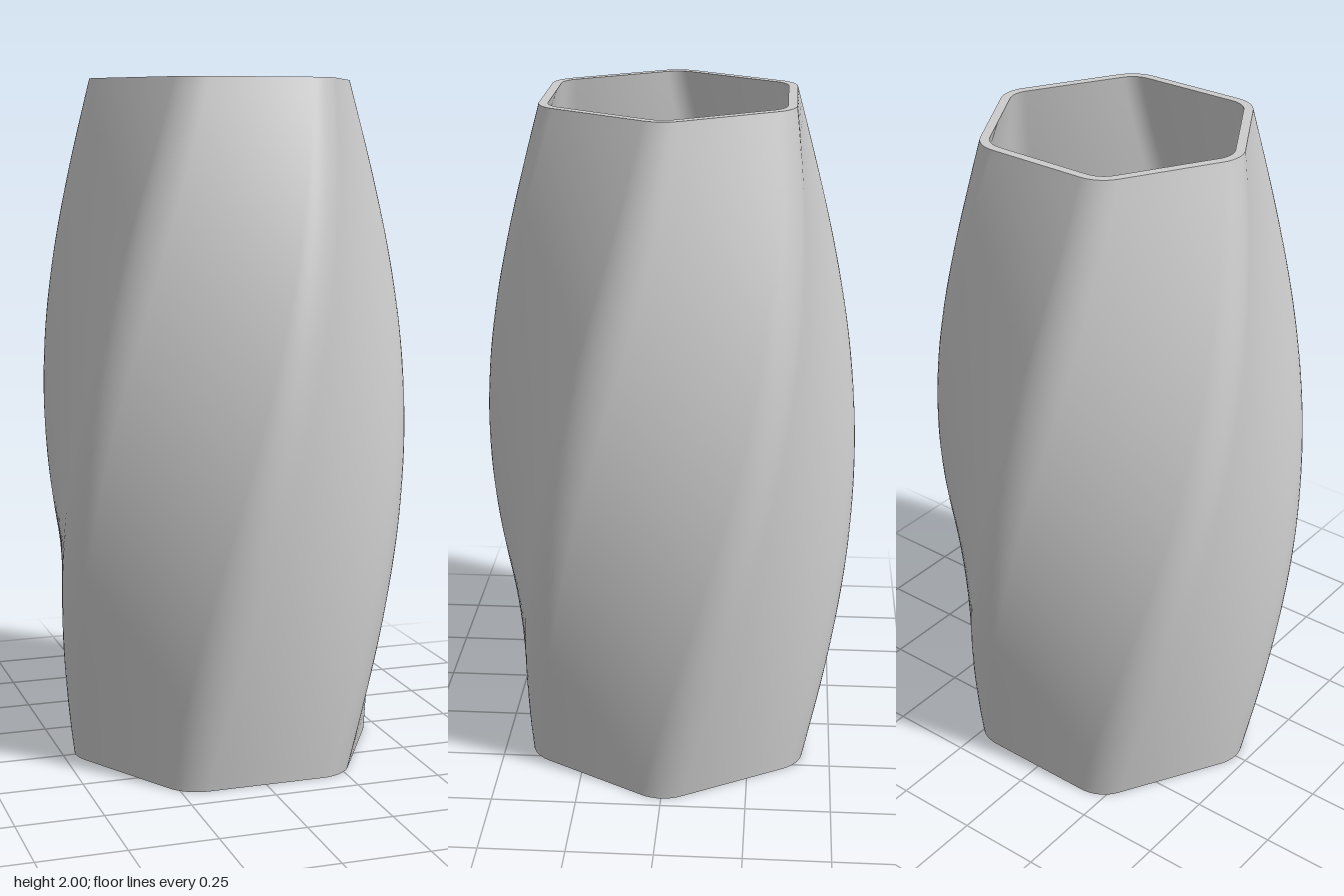
import * as THREE from 'three';

const HEIGHT = 2, TWIST = Math.PI / 3, WALL = 0.026, FLOOR = 0.05;
const RINGS = 64, ARC = 8, FLAT = 8;

// Apothem of the hexagon at height y: straight taper plus a sine bulge
const apothemAt = (y) => 0.4165 - 0.0315 * y + 0.108 * Math.sin((Math.PI * y) / HEIGHT);

// Rounded, twisted hexagon at height y, moved inwards by inset
function ring(y, inset = 0) {
  const full = apothemAt(y);
  const apothem = full - inset;
  const radius = full * 0.28 - inset;
  const centre = (apothem - radius) / Math.cos(Math.PI / 6);
  const turn = Math.PI / 6 + (y / HEIGHT) * TWIST - Math.PI / 3;
  const corners = [];
  for (let k = 0; k < 6; k++) {
    const a = turn + (k * Math.PI) / 3;
    const arc = [];
    for (let i = 0; i <= ARC; i++) {
      const b = a + (i / ARC - 0.5) * (Math.PI / 3);
      arc.push(new THREE.Vector3(
        centre * Math.sin(a) + radius * Math.sin(b), y,
        centre * Math.cos(a) + radius * Math.cos(b)));
    }
    corners.push(arc);
  }
  // Join each rounded corner to the next with a subdivided straight side
  return corners.flatMap((arc, k) => {
    const next = corners[(k + 1) % 6][0];
    const side = [];
    for (let i = 1; i < FLAT; i++) side.push(arc[ARC].clone().lerp(next, i / FLAT));
    return [...arc, ...side];
  });
}

// Skin a list of closed rings
function loft(rings) {
  const n = rings[0].length, index = [];
  for (let j = 0; j < rings.length - 1; j++) {
    for (let i = 0; i < n; i++) {
      const a = j * n + i, b = j * n + ((i + 1) % n);
      index.push(a, b, b + n, a, b + n, a + n);
    }
  }
  const geometry = new THREE.BufferGeometry().setFromPoints(rings.flat());
  geometry.setIndex(index);
  geometry.computeVertexNormals();
  return geometry;
}

// Flat cap fanned from the middle of a ring
function cap(points, up) {
  const middle = points.map((p) => new THREE.Vector3(0, p.y, 0));
  return loft(up ? [points, middle] : [middle, points]);
}

// Wall rings from one height to another
function wallRings(from, to, inset) {
  return Array.from({ length: RINGS + 1 }, (_, j) =>
    ring(from + ((to - from) * j) / RINGS, inset));
}

export function createModel() {
  const vase = new THREE.Group();
  vase.name = 'twistedVase';
  const material = new THREE.MeshStandardMaterial({ color: 0xcccccc });
  const add = (name, geometry) => {
    const mesh = new THREE.Mesh(geometry, material);
    mesh.name = name;
    vase.add(mesh);
  };

  add('outerWall', loft(wallRings(0, HEIGHT, 0)));
  add('rim', loft([ring(HEIGHT), ring(HEIGHT, WALL)]));
  add('innerWall', loft(wallRings(HEIGHT, FLOOR, WALL)));
  add('innerFloor', cap(ring(FLOOR, WALL), true));
  add('base', cap(ring(0), false));
  return vase;
}
